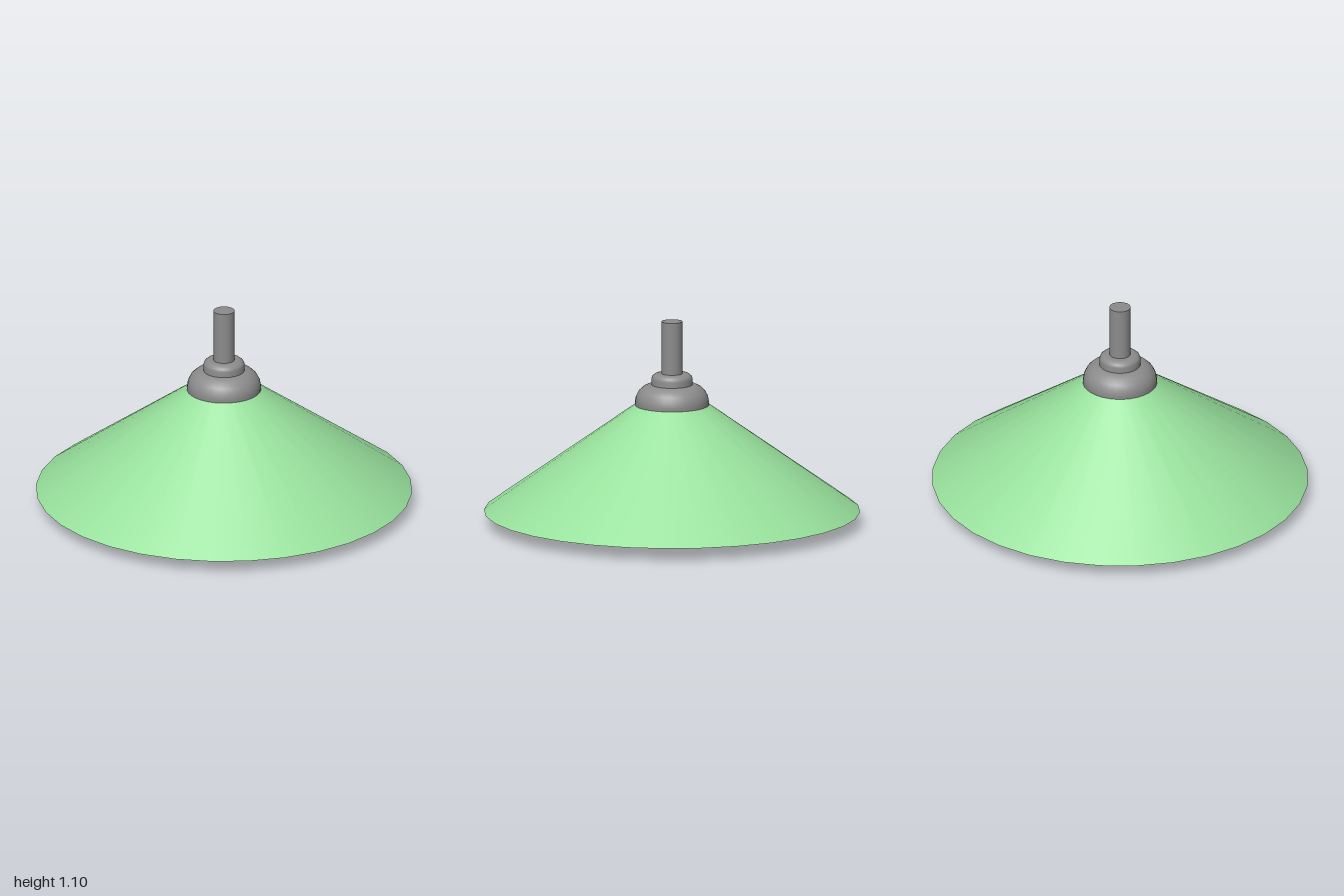
import * as THREE from 'three';

const SEGMENTS = 32;

// Revolve a [radius, height] profile; a repeated point keeps that edge sharp.
function turned(name, color, profile) {
  const points = profile.map(([r, y]) => new THREE.Vector2(r, y));
  const mesh = new THREE.Mesh(
    new THREE.LatheGeometry(points, SEGMENTS),
    new THREE.MeshStandardMaterial({ color })
  );
  mesh.name = name;
  return mesh;
}

export function createModel() {
  const lamp = new THREE.Group();
  lamp.name = 'pendantLamp';
  const metal = 0x8c8c8c;

  // Conical shade: inner wall, flat rim, outer wall
  lamp.add(turned('shade', 0x98e09c, [
    [0.16, 0.62], [0.925, 0.07], [0.925, 0.07],
    [1, 0.07], [1, 0.07], [0.19, 0.65],
  ]));

  // Domed cap whose lower drum reaches inside the shade
  lamp.add(turned('cap', metal, [
    [0, 0.47], [0.197, 0.47], [0.197, 0.66], [0.192, 0.69],
    [0.178, 0.718], [0.155, 0.74], [0.13, 0.752], [0.1, 0.757], [0, 0.757],
  ]));

  // Rounded collar on top of the cap
  lamp.add(turned('collar', metal, [
    [0.11, 0.75], [0.11, 0.785], [0.105, 0.8], [0.092, 0.811],
    [0.075, 0.815], [0, 0.815],
  ]));

  // Hanging pipe
  lamp.add(turned('pipe', metal, [
    [0.056, 0.81], [0.056, 1.096], [0.056, 1.096], [0, 1.096],
  ]));

  // Bulb socket under the cap
  lamp.add(turned('socket', metal, [
    [0, 0.33], [0.1, 0.33], [0.1, 0.33], [0.1, 0.48],
  ]));

  // Bulb: round globe flowing into a narrow neck
  const globe = [];
  for (let i = 0; i <= 16; i++) {
    const a = (i / 16) * 2.3;
    globe.push([0.148 * Math.sin(a), 0.148 - 0.148 * Math.cos(a)]);
  }
  lamp.add(turned('bulb', 0xd8c850, [
    ...globe, [0.089, 0.275], [0.077, 0.305], [0.072, 0.34],
  ]));

  return lamp;
}
